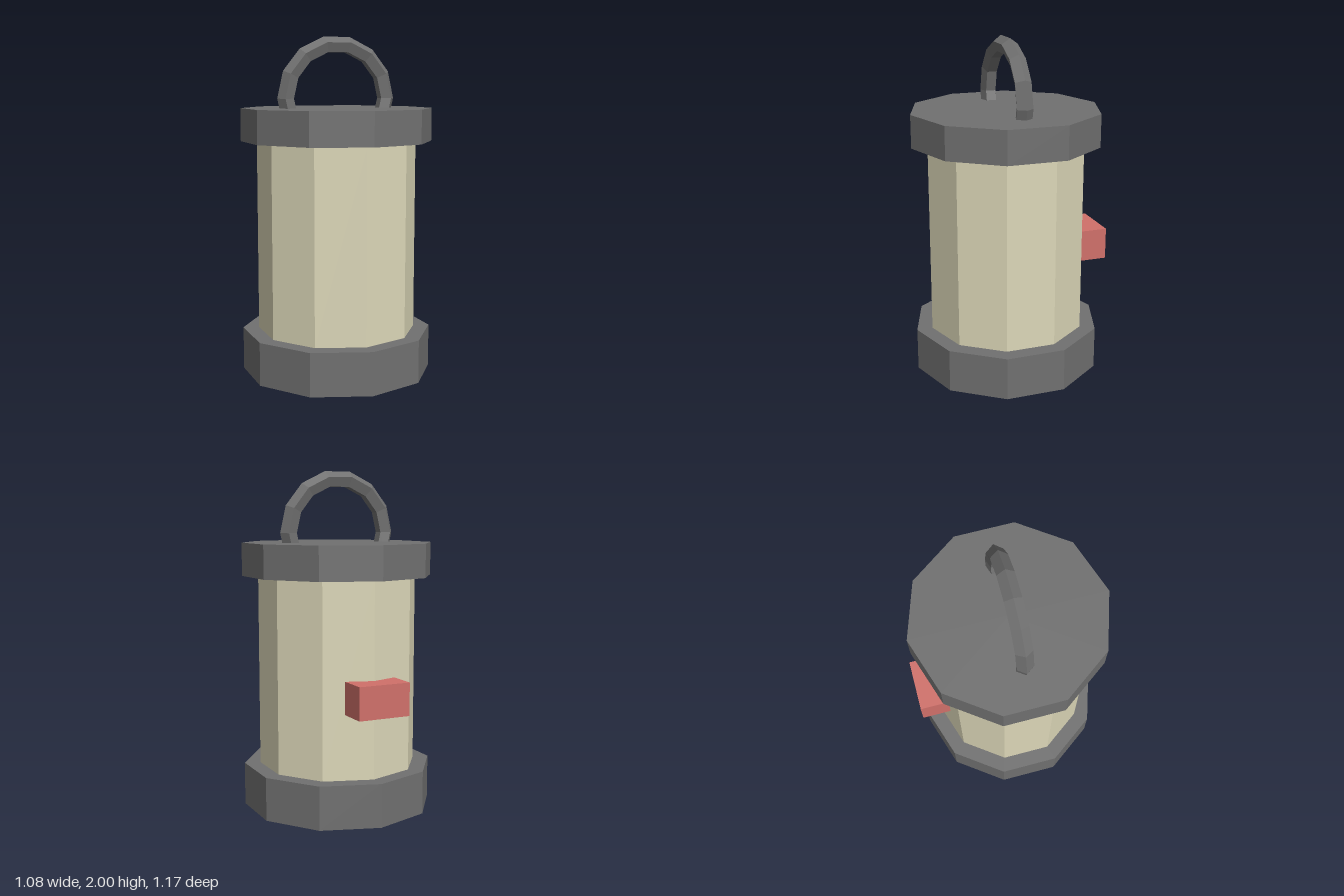
import * as THREE from 'three';

const CENTRE_Z = 0.0125; // axis of the canister, set forward by the rear block

export function createModel() {
  const model = new THREE.Group();
  model.name = 'canister';

  const material = (name, color) => {
    const m = new THREE.MeshStandardMaterial({ color, flatShading: true });
    m.name = name;
    return m;
  };
  const grey = material('dark grey', 0x707070);
  const cream = material('cream', 0xdcd7b8);
  const red = material('muted red', 0xd0706a);

  const add = (name, geometry, mat, x, y, z) => {
    const mesh = new THREE.Mesh(geometry, mat);
    mesh.name = name;
    mesh.position.set(x, y, z);
    model.add(mesh);
    return mesh;
  };

  // Ten-sided drum standing between two heights
  const drum = (name, radius, y0, y1, mat) =>
    add(name, new THREE.CylinderGeometry(radius, radius, y1 - y0, 10), mat, 0, (y0 + y1) / 2, CENTRE_Z);

  drum('baseCap', 0.568, 0, 0.255, grey);
  drum('body', 0.473, 0.255, 1.39, cream);
  drum('topCap', 0.568, 1.39, 1.585, grey);

  // Five-sided carrying loop, its ends sunk into the top cap
  const step = (Math.PI * 2) / 14;
  const loop = new THREE.TorusGeometry(0.316, 0.051, 5, 9, step * 9);
  loop.rotateZ(-step);
  add('handle', loop, grey, 0, 1.642, CENTRE_Z);

  // Block on the back, reaching into the body
  add('rearBlock', new THREE.BoxGeometry(0.314, 0.19, 0.2), red, 0, 0.73, -0.485);

  return model;
}
